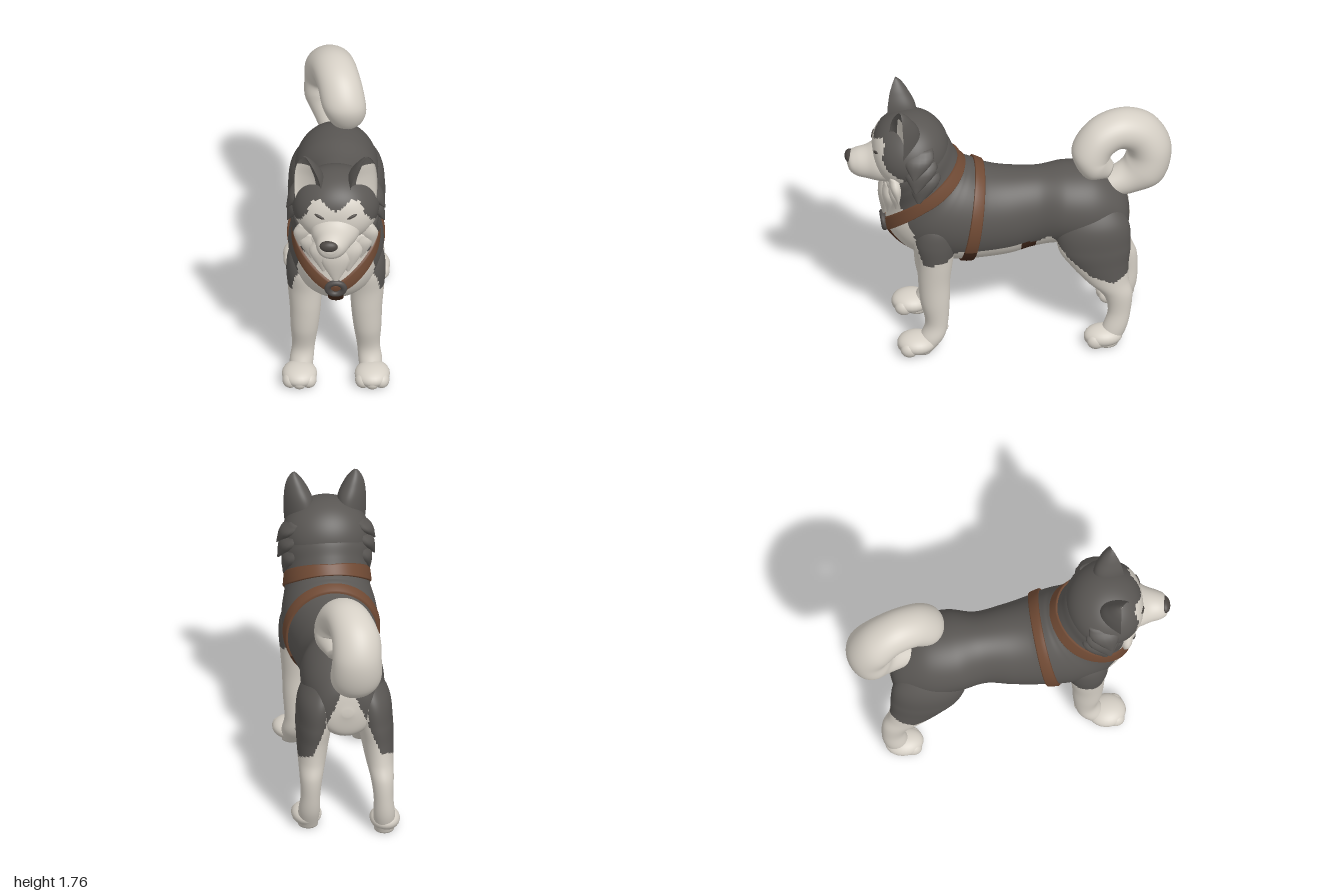
import * as THREE from 'three';

const material = (name, color) => Object.assign(new THREE.MeshStandardMaterial({ color }), { name });
const grey = material('dark coat', 0x5a5754);
const cream = material('cream coat', 0xd6d0c6);
const brown = material('leather', 0x704a34);
const darkBrown = material('dark leather', 0x452a1c);
const noseGrey = material('nose', 0x4b4642);
const metal = material('buckle metal', 0x4f4b49);

// Piecewise linear curve through [input, output] points
function ramp(points, v) {
  if (v <= points[0][0]) return points[0][1];
  for (let i = 1; i < points.length; i++) {
    const [x0, y0] = points[i - 1], [x1, y1] = points[i];
    if (v <= x1) return y0 + (y1 - y0) * (v - x0) / (x1 - x0);
  }
  return points[points.length - 1][1];
}

// Smooth interpolation of sections [cx, cy, cz, halfWidth, by, bz]
function sampler(keys) {
  const spline = new THREE.CubicInterpolant(keys.map((_, i) => i), keys.flat(), keys[0].length);
  return t => Array.from(spline.evaluate(t));
}

// Skin rings, each a section (ends get capped) or a function from angle to section (ends stay open);
// paint(x, y, z, angle) picks the material of each face
function skin(name, rings, paint, n = 48, dent = 1) {
  const cap = ([x, y, z]) => [x, y, z, 0, 0, 0];
  const open = typeof rings[0] === 'function';
  const rows = open ? rings : [cap(rings[0]), ...rings, cap(rings[rings.length - 1])];
  const pos = [], lists = new Map();
  for (const row of rows) {
    for (let j = 0; j < n; j++) {
      const a = j / n * Math.PI * 2, s = Math.sin(a) * (Math.sin(a) < 0 ? dent : 1);
      const [cx, cy, cz, w, by, bz] = open ? row(a) : row;
      pos.push(cx + w * Math.cos(a), Math.max(0, cy + by * s), cz + bz * s);
    }
  }
  for (let i = 0; i < rows.length - 1; i++) {
    for (let j = 0; j < n; j++) {
      const k = (j + 1) % n;
      const a = i * n + j, b = i * n + k, c = b + n, d = a + n;
      const mid = o => (pos[a * 3 + o] + pos[b * 3 + o] + pos[c * 3 + o] + pos[d * 3 + o]) / 4;
      const mat = paint.isMaterial ? paint : paint(mid(0), mid(1), mid(2), (j + 0.5) / n * Math.PI * 2);
      if (!lists.has(mat)) lists.set(mat, []);
      lists.get(mat).push(a, b, d, b, c, d);
    }
  }
  const geometry = new THREE.BufferGeometry();
  geometry.setAttribute('position', new THREE.Float32BufferAttribute(pos, 3));
  const mats = [...lists.keys()], index = [];
  mats.forEach((m, i) => {
    geometry.addGroup(index.length, lists.get(m).length, i);
    for (const v of lists.get(m)) index.push(v);
  });
  geometry.setIndex(index);
  geometry.computeVertexNormals();
  const mesh = new THREE.Mesh(geometry, mats);
  mesh.name = name;
  return mesh;
}

function loft(name, keys, paint, { steps = 8, n = 48, dent = 1 } = {}) {
  const at = sampler(keys), rings = [], count = (keys.length - 1) * steps;
  for (let i = 0; i <= count; i++) rings.push(at(i / steps));
  return skin(name, rings, paint, n, dent);
}

function ball(name, mat, x, y, z, rx, ry, rz) {
  const mesh = new THREE.Mesh(new THREE.SphereGeometry(1, 28, 18), mat);
  mesh.name = name;
  mesh.position.set(x, y, z);
  mesh.scale.set(rx, ry, rz);
  return mesh;
}

// Pointed lock of fur from one point down to another
const tuft = (name, mat, [x0, y0, z0], [x1, y1, z1], r, depth = 0.6) => loft(name, [
  [x0, y0, z0, r * 0.6, 0, r * depth * 0.8],
  [x0 * 0.6 + x1 * 0.4, y0 * 0.6 + y1 * 0.4, z0 * 0.6 + z1 * 0.4, r, 0, r * depth],
  [x1, y1, z1, r * 0.08, 0, r * depth * 0.1]], mat, { steps: 5, n: 16 });

// Lower edge of the dark coat along the body, and of the dark cap across the face
const coatEdge = [[-0.74, 0.54], [-0.62, 0.48], [-0.48, 0.54], [-0.35, 0.66], [-0.24, 0.81], [-0.17, 0.75],
  [0.2, 0.73], [0.3, 0.75], [0.4, 0.69], [0.54, 0.67], [0.575, 0.78], [0.605, 0.9], [0.65, 1.0], [0.7, 1.12], [0.74, 1.25]];
const capEdge = [[0, 1.455], [0.03, 1.47], [0.1, 1.52], [0.15, 1.49], [0.19, 1.39], [0.25, 1.3], [0.29, 1.2]];

function coat(x, y, z) {
  if (z < -0.55 && y < 0.98 && Math.abs(x) < 0.03 + (0.98 - y) * 0.4) return cream;
  return y > ramp(coatEdge, z) ? grey : cream;
}

// Trunk sections: top z, y; bottom z, y; half width
const trunkKeys = [
  [-0.74, 0.85, -0.74, 0.8, 0.03], [-0.72, 0.98, -0.7, 0.66, 0.15], [-0.64, 1.08, -0.6, 0.62, 0.21],
  [-0.52, 1.15, -0.45, 0.62, 0.25], [-0.35, 1.17, -0.3, 0.66, 0.25], [-0.18, 1.155, -0.15, 0.63, 0.215],
  [0, 1.16, 0, 0.59, 0.24], [0.12, 1.18, 0.17, 0.575, 0.265], [0.2, 1.215, 0.31, 0.575, 0.285],
  [0.23, 1.23, 0.48, 0.6, 0.292], [0.255, 1.24, 0.64, 0.68, 0.285], [0.29, 1.265, 0.745, 0.82, 0.262],
  [0.335, 1.345, 0.745, 0.98, 0.25], [0.37, 1.42, 0.765, 1.1, 0.265], [0.425, 1.49, 0.77, 1.19, 0.25],
  [0.55, 1.4, 0.68, 1.28, 0.1],
].map(([tz, ty, bz, by, w]) => [0, (ty + by) / 2, (tz + bz) / 2, w, (ty - by) / 2, (tz - bz) / 2]);
const trunkAt = sampler(trunkKeys);

// Strap around the trunk; middle(a) is its section and half(a) its half width at each angle
function strap(name, middle, half, paint) {
  const profile = [[-1, -0.01], [-1, 0.009], [-0.85, 0.014], [0, 0.015], [0.85, 0.014], [1, 0.009], [1, -0.01]];
  return skin(name, profile.map(([f, lift]) => a => {
    const s = trunkAt(middle(a) + half(a) * f), grow = 1 + lift / Math.hypot(s[4], s[5]);
    return [s[0], s[1], s[2], s[3] + lift, s[4] * grow, s[5] * grow];
  }), paint, 80);
}

function createTrunk(dog) {
  dog.add(loft('trunk', trunkKeys, (x, y, z) =>
    z > -0.15 && z < -0.07 && y < 0.75 ? darkBrown : coat(x, y, z), { steps: 12, n: 88 }));
  // Harness
  dog.add(strap('girthStrap', () => 7.73, a => 0.36 + 0.08 * Math.sin(a), (x, y) => y < 0.74 ? darkBrown : brown));
  dog.add(strap('neckStrap', a => 10.98 + Math.abs(Math.cos(a)) * (0.55 - 0.35 * Math.sin(a)),
    a => 0.27 + 0.25 * Math.max(0, Math.sin(a)) + 0.06 * Math.abs(Math.cos(a)), brown));
  const breast = [];
  for (let t = 7.6; t <= 11.01; t += 0.2) {
    const s = trunkAt(t), h = Math.hypot(s[4], s[5]);
    breast.push([0, s[1] - s[4], s[2] - s[5], 0.047, s[4] / h * 0.02, s[5] / h * 0.02]);
  }
  dog.add(skin('breastStrap', breast, darkBrown, 20));
  const buckle = new THREE.Mesh(new THREE.TorusGeometry(0.046, 0.018, 10, 28), metal);
  buckle.name = 'harnessRing';
  buckle.position.set(0, 0.835, 0.765);
  buckle.rotation.x = 0.15;
  buckle.scale.x = 1.1;
  dog.add(buckle);
}

function createHead(dog) {
  const skull = [];
  for (let i = 1; i < 48; i++) {
    const a = i / 48 * Math.PI, r = Math.sin(a) ** (a > Math.PI / 2 ? 0.78 : 1);
    skull.push([0, 1.37, 0.6 - 0.235 * Math.cos(a), 0.268 * r, 0.235 * r, 0]);
  }
  dog.add(skin('head', skull, (x, y, z) =>
    z > (y < 1.36 ? 0.66 : 0.69) && y < ramp(capEdge, Math.abs(x)) ? cream : grey, 88));
  dog.add(loft('muzzle', [
    [0, 1.29, 0.7, 0.17, 0.13, 0], [-0.005, 1.285, 0.8, 0.145, 0.122, 0], [-0.015, 1.27, 0.87, 0.112, 0.1, 0],
    [-0.025, 1.265, 0.93, 0.092, 0.086, 0], [-0.03, 1.27, 0.97, 0.068, 0.06, 0], [-0.03, 1.28, 0.985, 0.03, 0.03, 0],
  ], cream));
  dog.add(ball('nose', noseGrey, -0.04, 1.297, 0.965, 0.058, 0.037, 0.035));
  dog.add(tuft('beard', cream, [0, 1.17, 0.74], [0, 0.88, 0.765], 0.1, 0.5));
  for (const s of [1, -1]) {
    const eye = ball('eye', noseGrey, s * 0.1, 1.415, 0.821, 0.034, 0.01, 0.009);
    eye.rotation.set(0, s * 0.3, s * 0.4);
    dog.add(eye);
    // Cupped ear with a pale inside, turned slightly outward
    const ear = loft('ear', [
      [0, 1.4, 0, 0.08, 0, -0.13], [0, 1.5, 0, 0.09, 0, -0.16], [s * 0.006, 1.6, 0, 0.084, 0, -0.145],
      [s * 0.018, 1.68, 0, 0.062, 0, -0.095], [s * 0.026, 1.73, -0.005, 0.036, 0, -0.05],
      [s * 0.028, 1.76, -0.01, 0.01, 0, -0.012],
    ], (x, y, z, a) => Math.sin(a) < 0 && y < 1.7 && Math.cos(a) * s > -0.55 ? cream : grey, { dent: -0.2 });
    ear.position.set(s * 0.17, 0, 0.7);
    ear.rotation.y = s * 0.42;
    dog.add(ear);
    // Throat fur
    dog.add(tuft('throatFur', cream, [s * 0.09, 1.19, 0.725], [s * 0.075, 0.95, 0.745], 0.08));
    dog.add(tuft('throatFur', cream, [s * 0.155, 1.22, 0.705], [s * 0.15, 1.02, 0.7], 0.07));
    dog.add(tuft('throatFur', cream, [s * 0.185, 1.29, 0.715], [s * 0.22, 1.1, 0.69], 0.06));
    // Cheek ruff
    dog.add(tuft('cheekFur', grey, [s * 0.19, 1.49, 0.55], [s * 0.3, 1.33, 0.6], 0.05, 1.8));
    dog.add(tuft('cheekFur', grey, [s * 0.195, 1.42, 0.54], [s * 0.295, 1.23, 0.59], 0.055, 1.8));
    dog.add(tuft('cheekFur', grey, [s * 0.195, 1.34, 0.52], [s * 0.262, 1.13, 0.57], 0.055, 1.8));
  }
}

function createPaw(dog, x, z, w) {
  dog.add(ball('paw', cream, x, 0.064, z, w, 0.064, 0.118));
  for (let i = -1; i <= 1; i++) {
    dog.add(ball('toe', cream, x + i * w * 0.52, 0.05, z + 0.062 - Math.abs(i) * 0.015, w * 0.45, 0.05, 0.055));
  }
}

function createLegs(dog) {
  for (const s of [1, -1]) {
    dog.add(loft('frontLeg', [
      [0.13, 1.02, 0.44, 0.05, 0, 0.07], [0.178, 0.92, 0.455, 0.1, 0, 0.115], [0.193, 0.8, 0.465, 0.11, 0, 0.13],
      [0.19, 0.65, 0.465, 0.104, 0, 0.11], [0.187, 0.5, 0.47, 0.095, 0, 0.098], [0.192, 0.35, 0.465, 0.085, 0, 0.09],
      [0.198, 0.2, 0.455, 0.07, 0, 0.07], [0.21, 0.1, 0.485, 0.072, 0, 0.075], [0.215, 0.0, 0.545, 0.06, 0, 0.06],
    ].map(([x, ...rest]) => [x * s, ...rest]), coat, { n: 64 }));
    createPaw(dog, s * 0.222, 0.58, 0.108);
    dog.add(ball('dewclaw', cream, s * 0.19, 0.15, 0.405, 0.03, 0.022, 0.022));

    // The right hind foot stands a little further back
    const back = s < 0 ? -0.11 : 0;
    dog.add(loft('hindLeg', [
      [0.09, 1.06, -0.49, 0.05, 0, 0.08], [0.155, 0.87, -0.5, 0.115, 0, 0.215], [0.182, 0.7, -0.51, 0.114, 0, 0.222],
      [0.195, 0.58, -0.54, 0.1, 0, 0.18], [0.205, 0.46, -0.59, 0.085, 0, 0.13], [0.215, 0.36, -0.65, 0.07, 0, 0.09],
      [0.22, 0.24, -0.66, 0.06, 0, 0.07], [0.225, 0.12, -0.63, 0.066, 0, 0.075], [0.228, 0.0, -0.58, 0.06, 0, 0.07],
    ].map(([x, y, z, ...rest]) => [x * s, y, z + back * Math.max(0, 1 - y / 0.8), ...rest]),
    (x, y, z) => Math.abs(x) > 0.13 ? coat(x, y, z) : cream, { steps: 12, n: 72 }));
    createPaw(dog, s * 0.235, -0.56 + back, 0.092);
  }
}

// Tail curled over the back, sections x, y, z, radius
function createTail(dog) {
  const path = [[0, 1.03, -0.6, 0.08], [-0.02, 1.065, -0.73, 0.105], [-0.04, 1.13, -0.835, 0.138], [-0.045, 1.26, -0.865, 0.135],
    [-0.045, 1.372, -0.805, 0.132], [-0.015, 1.428, -0.69, 0.124], [0.02, 1.395, -0.57, 0.122], [0.045, 1.3, -0.5, 0.12],
    [0.06, 1.215, -0.53, 0.1], [0.05, 1.165, -0.61, 0.055]];
  dog.add(loft('tail', path.map(([x, y, z, r], i) => {
    const p = path[Math.max(0, i - 1)], q = path[Math.min(path.length - 1, i + 1)];
    const dy = q[1] - p[1], dz = q[2] - p[2], h = Math.hypot(dy, dz);
    return [x, y, z, r * 1.12, dz / h * r, -dy / h * r];
  }), cream, { n: 40 }));
}

export function createModel() {
  const dog = new THREE.Group();
  dog.name = 'dog';
  createTrunk(dog);
  createHead(dog);
  createLegs(dog);
  createTail(dog);
  return dog;
}
